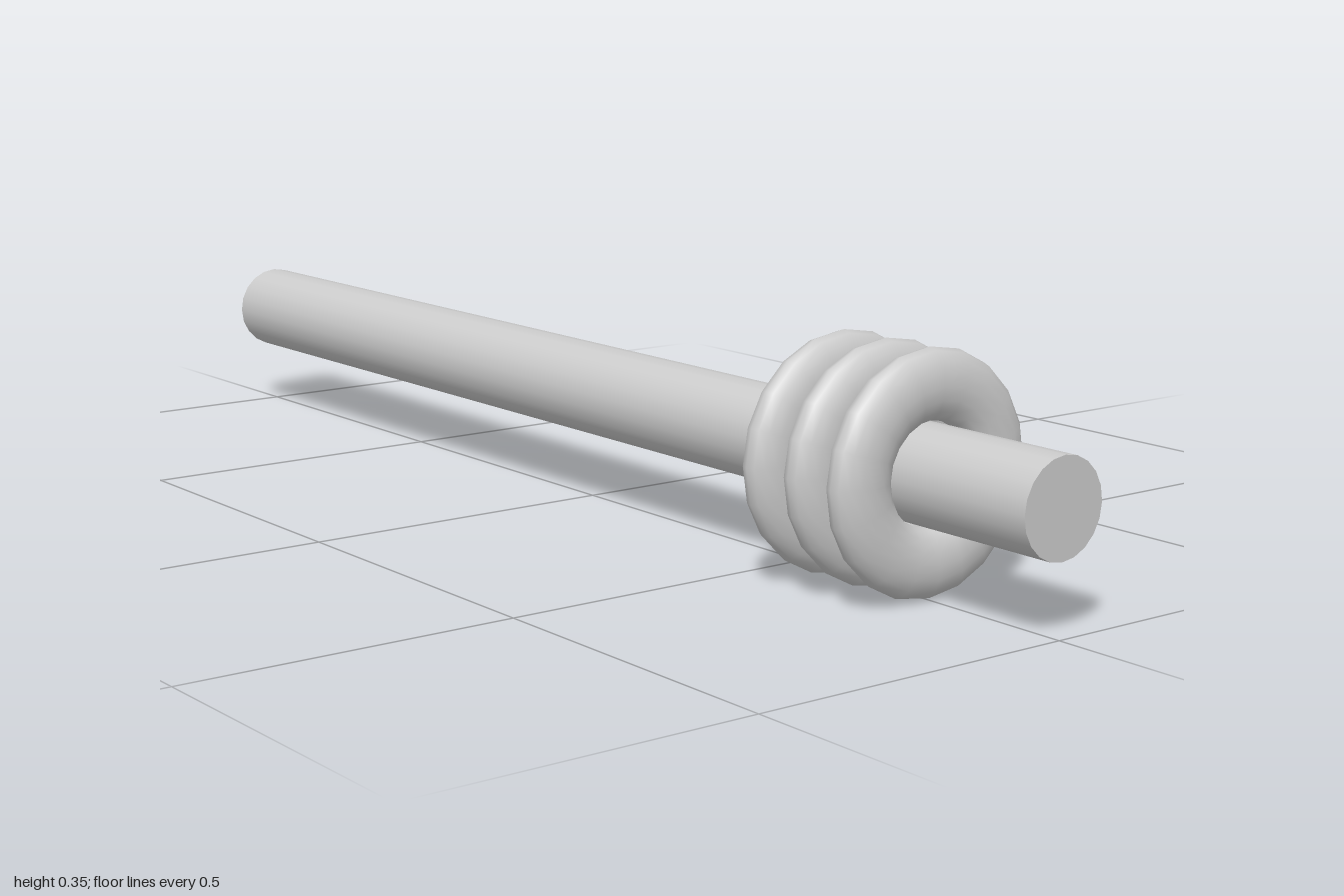
import * as THREE from 'three';

export function createModel() {
  const model = new THREE.Group();
  const material = new THREE.MeshStandardMaterial({ color: 0xcccccc });
  const axisY = 0.173;

  // Long round bar lying along x
  const barGeometry = new THREE.CylinderGeometry(0.07, 0.07, 2, 20);
  barGeometry.rotateZ(-Math.PI / 2);
  const bar = new THREE.Mesh(barGeometry, material);
  bar.name = 'bar';
  bar.position.y = axisY;
  model.add(bar);

  // Three flattened rings loosely fitted around one end
  const ringGeometry = new THREE.TorusGeometry(0.123, 0.05, 16, 20);
  ringGeometry.scale(1, 1, 0.61);
  ringGeometry.rotateY(Math.PI / 2);
  const rings = new THREE.Group();
  rings.name = 'rings';
  for (let i = 0; i < 3; i++) {
    const ring = new THREE.Mesh(ringGeometry, material);
    ring.name = `ring${i + 1}`;
    ring.position.set(0.582 + i * 0.085, axisY, 0);
    rings.add(ring);
  }
  model.add(rings);

  return model;
}
